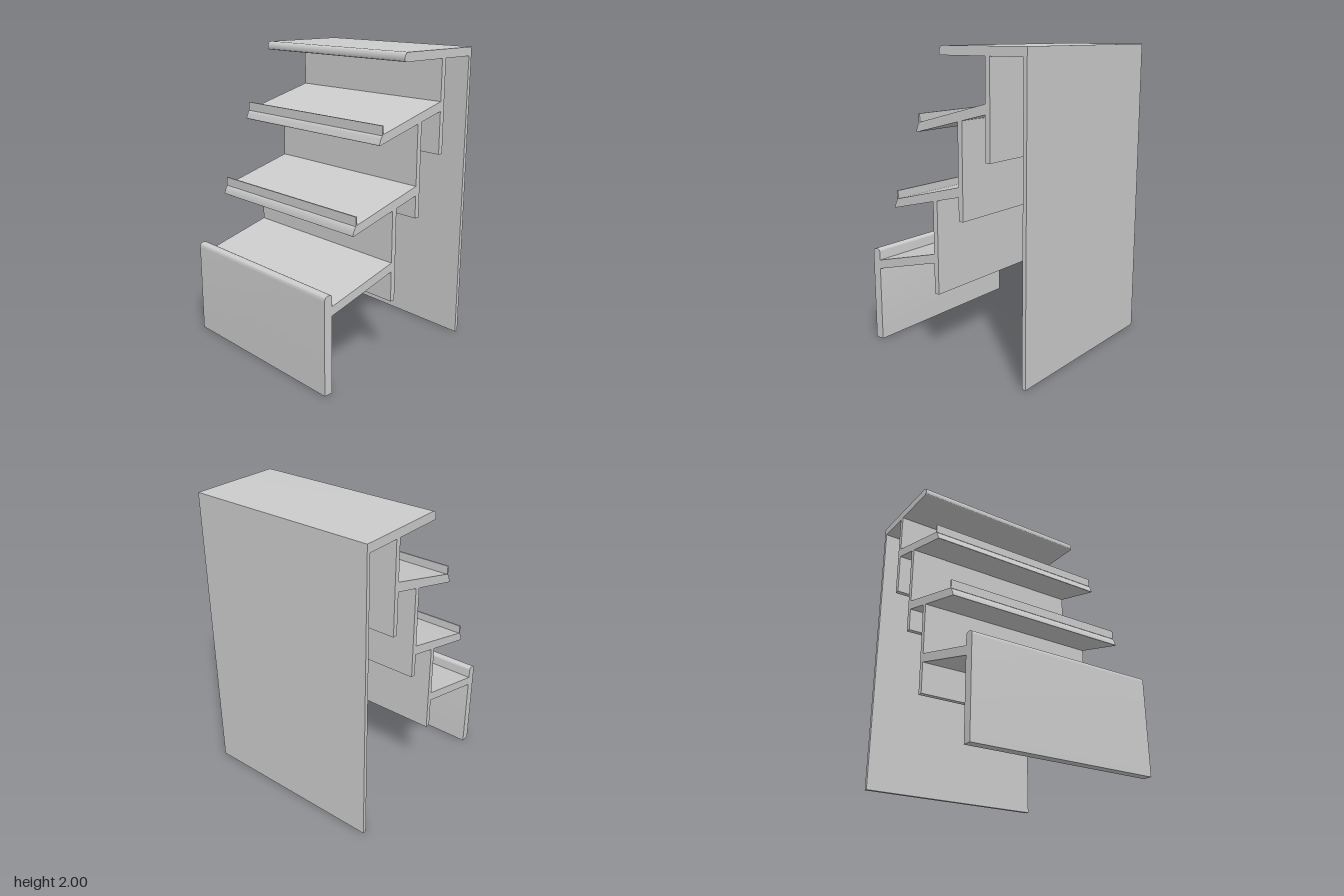
import * as THREE from 'three';
import { toCreasedNormals } from 'three/addons/utils/BufferGeometryUtils.js';

const WIDTH = 1.29;
const material = new THREE.MeshStandardMaterial({ color: 0xcccccc });

// Outline through [z, y, cornerRadius] points, rounding the corners that have a radius
function outline(points) {
  const shape = new THREE.Shape();
  const n = points.length;
  points.forEach(([z, y, r = 0], i) => {
    const corner = new THREE.Vector2(z, y);
    const toward = (p) => new THREE.Vector2(p[0], p[1]).sub(corner).setLength(r).add(corner);
    const a = toward(points[(i + n - 1) % n]);
    const b = toward(points[(i + 1) % n]);
    if (i === 0) shape.moveTo(a.x, a.y);
    else shape.lineTo(a.x, a.y);
    if (r) shape.quadraticCurveTo(z, y, b.x, b.y);
  });
  shape.closePath();
  return shape;
}

// Board: a side profile (z, y) swept across the full width
function board(name, points) {
  const geometry = new THREE.ExtrudeGeometry(outline(points), {
    depth: WIDTH, bevelEnabled: false, curveSegments: 8,
  });
  geometry.translate(0, 0, -WIDTH / 2).rotateY(-Math.PI / 2);
  const mesh = new THREE.Mesh(toCreasedNormals(geometry, 0.6), material);
  mesh.name = name;
  return mesh;
}

// Upright with a top edge that may follow the slope of the shelf above
function riser(name, front, back, bottom, topFront, topBack) {
  return board(name, [[back, bottom], [front, bottom], [front, topFront], [back, topBack]]);
}

// Sloping shelf with a rounded nose and a thin upright stop strip
function slopedShelf(name, z, y) {
  const group = new THREE.Group();
  group.name = name;
  group.add(
    board('shelfBoard', [
      [z, y + 0.145], [z, y + 0.207], [z + 0.535, y + 0.063, 0.025], [z + 0.56, y, 0.012],
    ]),
    board('stopStrip', [
      [z + 0.523, y + 0.06], [z + 0.533, y + 0.06], [z + 0.533, y + 0.119], [z + 0.523, y + 0.119],
    ]),
  );
  return group;
}

export function createModel() {
  const model = new THREE.Group();
  model.name = 'steppedDisplayStand';

  // Front and back panels, top board
  model.add(
    board('frontPanel', [[0.585, 0], [0.645, 0], [0.645, 0.645, 0.03], [0.585, 0.645, 0.022]]),
    board('backPanel', [[-0.645, 0], [-0.62, 0], [-0.62, 2], [-0.645, 2]]),
    board('topBoard', [[-0.62, 1.943], [0, 1.943, 0.015], [0, 2, 0.035], [-0.62, 2]]),
  );

  // Lowest shelf, behind the front panel
  model.add(board('lowerShelf', [[0.076, 0.647], [0.585, 0.508], [0.585, 0.568], [0.076, 0.706]]));

  // Upper shelves
  model.add(slopedShelf('middleShelf', -0.137, 0.957), slopedShelf('upperShelf', -0.35, 1.469));

  // Risers, each hanging from the board above it
  model.add(
    riser('lowerRiser', 0.076, 0.042, 0.445, 1.047, 1.056),
    riser('middleRiser', -0.137, -0.171, 0.953, 1.559, 1.568),
    riser('upperRiser', -0.35, -0.384, 1.335, 1.943, 1.943),
  );
  return model;
}
